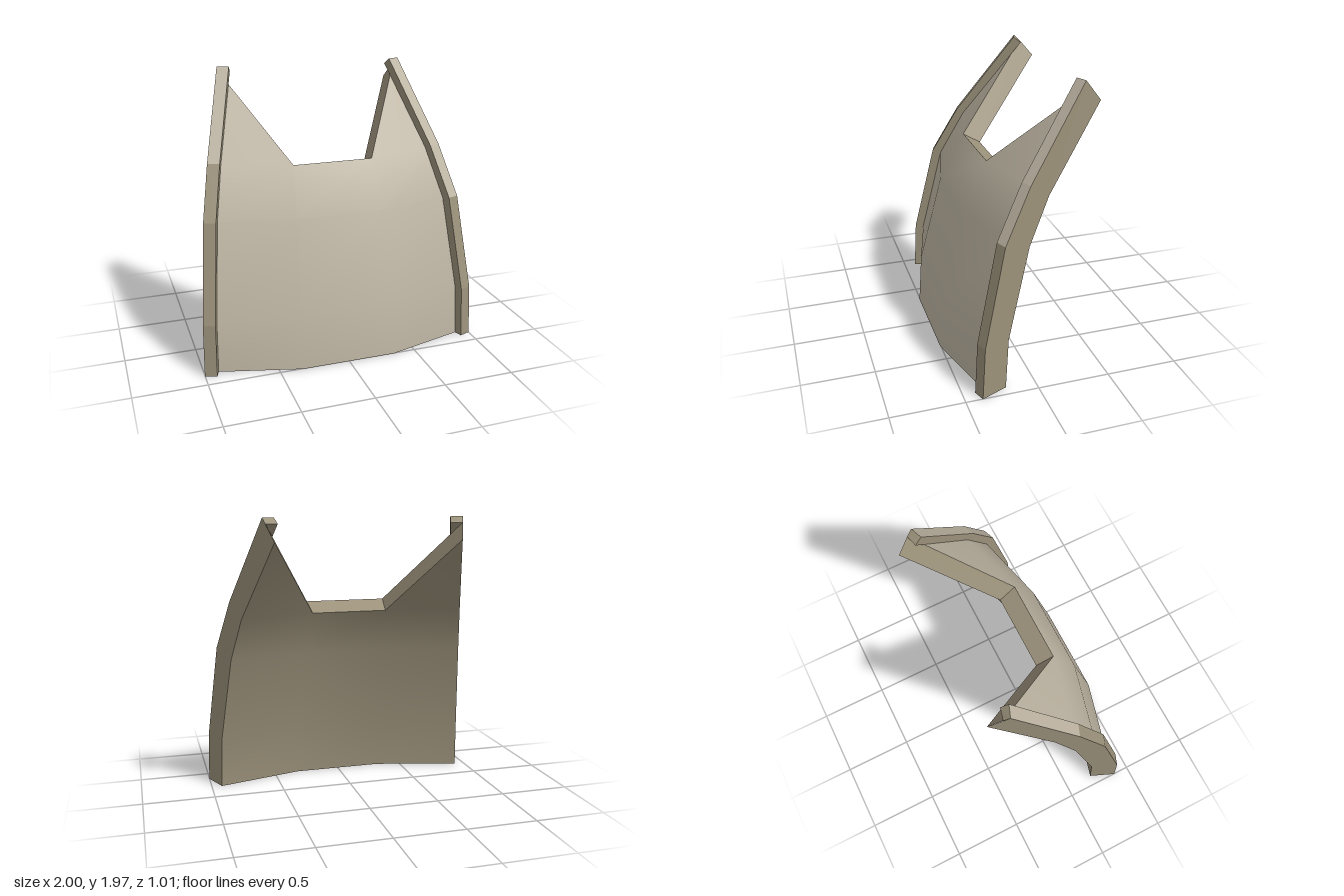
import * as THREE from 'three';
import { mergeVertices } from 'three/addons/utils/BufferGeometryUtils.js';

const beige = new THREE.MeshStandardMaterial({ color: 0xbeb5a3 });
beige.name = 'pale beige';
const khaki = new THREE.MeshStandardMaterial({ color: 0x9c927b });
khaki.name = 'khaki';

// Mesh from a list of convex polygons, corners counter-clockwise from outside
function polyMesh(name, material, polys, smooth = false) {
  const pos = [];
  for (const p of polys)
    for (let k = 1; k < p.length - 1; k++) pos.push(...p[0], ...p[k], ...p[k + 1]);
  let geo = new THREE.BufferGeometry();
  geo.setAttribute('position', new THREE.Float32BufferAttribute(pos, 3));
  if (smooth) geo = mergeVertices(geo);
  geo.computeVertexNormals();
  const mesh = new THREE.Mesh(geo, material);
  mesh.name = name;
  return mesh;
}

// The outer sides lie in slanted vertical planes: x follows from z
const sidePoint = ([y, z]) => [1 - 0.4157 * (0.38 - z), y, z];
const mirror = ([x, y, z]) => [-x, y, z];

// Side profiles, bottom to top, as [y, z]
const lipFront = [[0, 0.385], [0.37, 0.365], [1.04, 0.215], [1.39, 0.03], [1.97, -0.38]].map(sidePoint);
const frontEdge = [[0, 0.335], [0.365, 0.315], [1.025, 0.165], [1.365, -0.01], [1.93, -0.42]].map(sidePoint);
const backEdge = [[0, 0.205], [0.36, 0.185], [0.98, 0.03], [1.285, -0.115], [1.82, -0.51]].map(sidePoint);

// Middle columns of the plate
const frontMid = [[0.34, 0, 0.505], [0.335, 0.37, 0.48], [0.315, 1.03, 0.31], [0.285, 1.36, 0.14]];
const backMid = [[0.325, 0, 0.365], [0.32, 0.36, 0.34], [0.295, 0.98, 0.18], [0.27, 1.29, 0.02]];

// One curved skin of the plate: four columns, with a horn at each upper corner
function skin(edge, mid) {
  const rows = mid.map((m, i) => [mirror(edge[i]), mirror(m), m, edge[i]]);
  const polys = [];
  for (let i = 0; i < 3; i++)
    for (let j = 0; j < 3; j++)
      polys.push([rows[i][j], rows[i][j + 1], rows[i + 1][j + 1], rows[i + 1][j]]);
  polys.push([rows[3][2], rows[3][3], edge[4]]);
  polys.push([rows[3][0], rows[3][1], mirror(edge[4])]);
  return polys;
}

// Strip of quads joining two lines of points
const strip = (a, b) => a.slice(1).map((p, i) => [a[i], p, b[i + 1], b[i]]);

// Raised lip and outer wall on one side; paleFrom is the first pale segment
function sideRail(s, paleFrom) {
  const place = (polys) => (s > 0 ? polys : polys.map((p) => p.map(mirror).reverse()));
  const innerFront = lipFront.map(([x, y, z]) => [x - 0.08, y, z + 0.03]);
  const innerBack = frontEdge.map(([x, y, z]) => [x - 0.08, y, z + 0.02]);
  const cap = (i) => [lipFront[i], innerFront[i], innerBack[i], frontEdge[i]];
  const face = strip(lipFront, innerFront);

  const rail = new THREE.Group();
  rail.name = s > 0 ? 'leftRail' : 'rightRail';
  rail.add(
    polyMesh('outerWall', khaki, place(strip(backEdge, lipFront))),
    polyMesh('lipFaceLower', khaki, place(face.slice(0, paleFrom))),
    polyMesh('lipFaceUpper', beige, place(face.slice(paleFrom))),
    polyMesh('lipInnerWall', khaki, place(strip(innerFront, innerBack))),
    polyMesh('lipUnderside', khaki, place(strip(innerBack, frontEdge))),
    polyMesh('lipEnds', khaki, place([cap(0), cap(4).reverse()]))
  );
  return rail;
}

export function createModel() {
  const model = new THREE.Group();
  model.name = 'curvedPlate';

  // Curved front and back skins
  model.add(polyMesh('frontSkin', beige, skin(frontEdge, frontMid), true));
  const back = skin(backEdge, backMid).map((p) => p.reverse());
  model.add(polyMesh('backSkin', khaki, back, true));

  // Bottom edge and notched top edge close the plate's thickness
  const across = (edge, mid) => [mirror(edge), mirror(mid), mid, edge];
  model.add(polyMesh('bottomEdge', beige,
    strip(across(backEdge[0], backMid[0]), across(frontEdge[0], frontMid[0]))));
  model.add(polyMesh('topNotch', khaki,
    strip(across(frontEdge[4], frontMid[3]), across(backEdge[4], backMid[3]))));

  // Side rails
  model.add(sideRail(1, 2), sideRail(-1, 3));
  return model;
}
